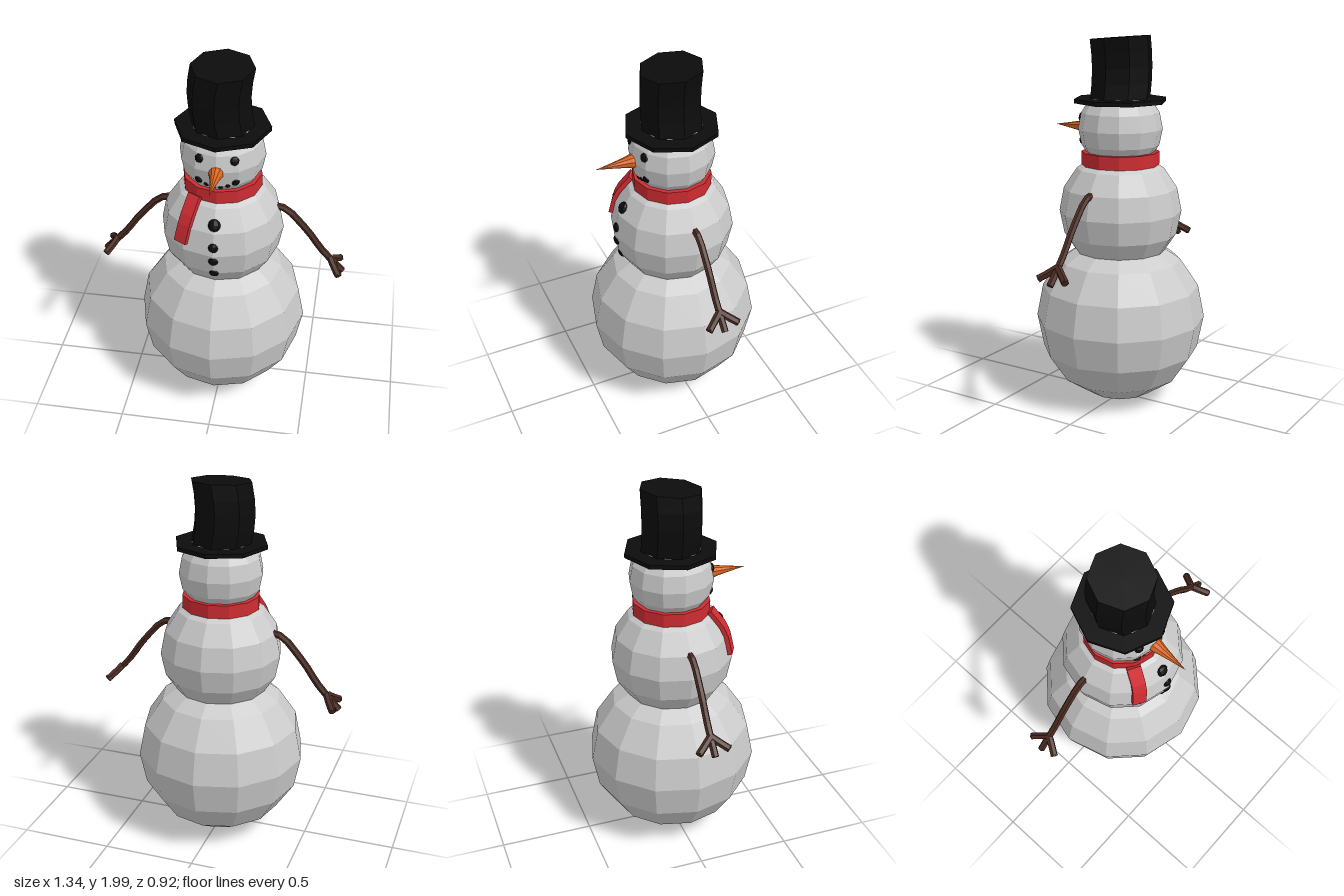
import * as THREE from 'three';

const mat = (color) => new THREE.MeshStandardMaterial({ color, flatShading: true });

export function createModel() {
  const snow = mat(0xcccccc), coal = mat(0x0c0c0c), red = mat(0xcf2c32);
  const carrot = mat(0xd9641e), wood = mat(0x4a2a20);
  const model = new THREE.Group();
  model.name = 'snowman';

  const add = (name, geometry, material, x = 0, y = 0, z = 0, parent = model) => {
    const mesh = new THREE.Mesh(geometry, material);
    mesh.name = name;
    mesh.position.set(x, y, z);
    parent.add(mesh);
    return mesh;
  };

  // Move every vertex of a geometry by a rule
  const warp = (geometry, rule) => {
    const p = geometry.attributes.position, v = new THREE.Vector3();
    for (let i = 0; i < p.count; i++) {
      rule(v.fromBufferAttribute(p, i));
      p.setXYZ(i, v.x, v.y, v.z);
    }
    geometry.computeVertexNormals();
    return geometry;
  };

  // Three snowballs
  const balls = { base: [0.462, 0.468], torso: [0.33, 1.065], head: [0.225, 1.51] };
  for (const [name, [r, y]] of Object.entries(balls)) {
    add(name, new THREE.SphereGeometry(r, 12, 8), snow, 0, y, 0);
  }

  // Coal pieces, flattened and pressed onto the front of a ball
  const addCoal = (name, [ballRadius, ballY], x, y, r) => {
    const z = Math.sqrt(ballRadius ** 2 - x ** 2 - (y - ballY) ** 2) - 0.008;
    const piece = add(name, new THREE.SphereGeometry(r, 8, 6), coal, x, y, z);
    piece.scale.z = 0.55;
    piece.lookAt(2 * x, 2 * y - ballY, 2 * z);
  };
  for (const s of [-1, 1]) {
    addCoal('eye', balls.head, s * 0.09, 1.57, 0.024);
    addCoal('mouthCorner', balls.head, s * 0.095, 1.44, 0.021);
    addCoal('mouth', balls.head, s * 0.055, 1.42, 0.013);
    addCoal('mouth', balls.head, s * 0.018, 1.41, 0.013);
  }
  [[1.23, 0.033], [1.115, 0.026], [1.03, 0.026], [0.937, 0.026]]
    .forEach(([y, r]) => addCoal('button', balls.torso, 0, y, r));

  // Carrot nose
  const noseProfile = [[0, 0.18], [0.036, 0.19], [0.037, 0.225], [0.027, 0.26], [0.016, 0.32], [0, 0.415]]
    .map(([r, h]) => new THREE.Vector2(r, h));
  add('nose', new THREE.LatheGeometry(noseProfile, 10), carrot, 0, 1.505, 0).rotation.x = Math.PI / 2;

  // Top hat: flat brim and a slightly crooked crown with a tilted top
  add('hatBrim', new THREE.CylinderGeometry(0.25, 0.25, 0.022, 8), coal, 0, 1.66, 0);
  const crown = warp(new THREE.CylinderGeometry(0.163, 0.163, 1, 8, 4), (v) => {
    const t = v.y + 0.5;
    v.x -= 0.02 * Math.sin(Math.PI * t);
    v.y = t * (0.318 - 0.078 * v.z);
  });
  add('hatCrown', crown, coal, 0, 1.67, 0);

  // Scarf band
  const bandProfile = [[0.18, 1.317], [0.208, 1.317], [0.208, 1.388], [0.18, 1.388], [0.18, 1.317]]
    .map(([r, y]) => new THREE.Vector2(r, y));
  add('scarf', new THREE.LatheGeometry(bandProfile, 12), red);

  // Scarf end, draped over the torso along a curve
  const drape = new THREE.CatmullRomCurve3([
    new THREE.Vector3(-0.115, 1.34, 0.178),
    new THREE.Vector3(-0.15, 1.23, 0.25),
    new THREE.Vector3(-0.177, 1.105, 0.275),
  ]);
  const across = new THREE.Vector3(0.87, 0, 0.5);
  const end = warp(new THREE.BoxGeometry(0.074, 1, 0.024, 1, 5, 1), (v) => {
    const t = 0.5 - v.y;
    const normal = drape.getTangent(t).cross(across).normalize();
    if (normal.z < 0) normal.negate();
    const { x, z } = v;
    v.copy(drape.getPoint(t)).addScaledVector(across, x).addScaledVector(normal, z);
  });
  add('scarfEnd', end, red);

  // Twig arms with three blunt fingers, mirrored left and right
  const twig = (points, radius, segments) => {
    const curve = new THREE.CatmullRomCurve3(points.map((p) => new THREE.Vector3(...p)));
    return new THREE.TubeGeometry(curve, segments, radius, 6);
  };
  const addTwig = (name, points, radius, segments, parent) => {
    add(name, twig(points, radius, segments), wood, 0, 0, 0, parent);
    // Close the free tip
    const tip = new THREE.Vector3(...points.at(-1));
    const dir = tip.clone().sub(new THREE.Vector3(...points.at(-2))).normalize();
    const cap = add(name + 'Tip', new THREE.CylinderGeometry(radius, radius, 0.008, 6), wood, ...tip, parent);
    cap.quaternion.setFromUnitVectors(new THREE.Vector3(0, 1, 0), dir);
  };
  for (const s of [-1, 1]) {
    const arm = new THREE.Group();
    arm.name = s > 0 ? 'leftArm' : 'rightArm';
    addTwig('branch', [[0.27, 1.195, 0], [0.34, 1.18, 0], [0.39, 1.13, 0], [0.47, 1.035, 0],
      [0.54, 0.935, 0], [0.657, 0.808, 0]].map(([x, y, z]) => [s * x, y, z]), 0.019, 10, arm);
    for (const side of [-1, 1]) {
      addTwig('finger', [[s * 0.59, 0.885, 0], [s * 0.612, 0.858, side * 0.035],
        [s * 0.642, 0.828, side * 0.08]], 0.02, 3, arm);
    }
    model.add(arm);
  }

  return model;
}
